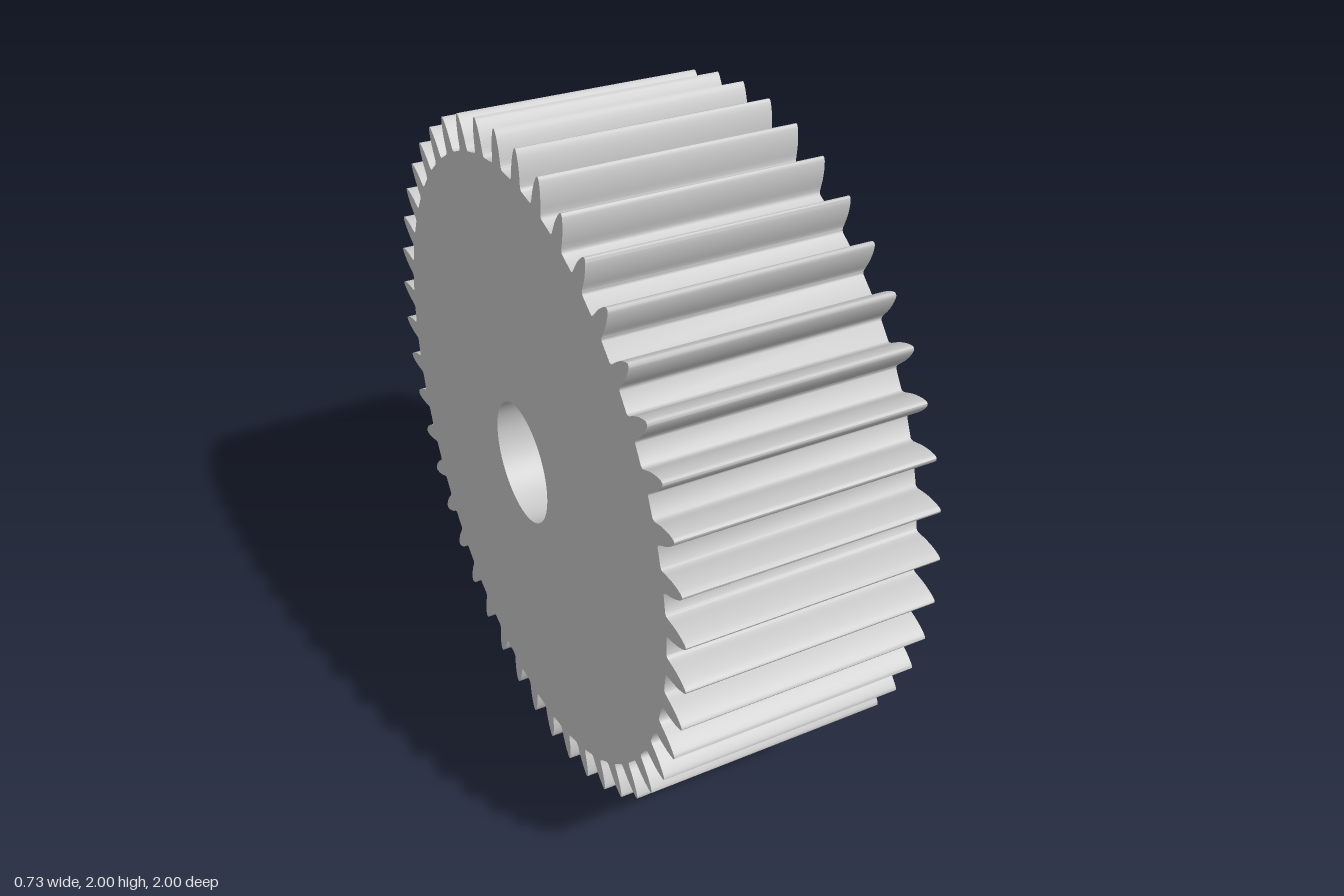
import * as THREE from 'three';
import { toCreasedNormals } from 'three/addons/utils/BufferGeometryUtils.js';

const TEETH = 45;
const RADIUS = 1.001;
const WIDTH = 0.73;
const BORE = 0.183;

// Half of one tooth, root to tip: [radius, half width]
const FLANK = [
  [0.9, 0.036], [0.903, 0.0315], [0.91, 0.0285], [0.925, 0.027], [0.94, 0.0253],
  [0.955, 0.0225], [0.97, 0.0185], [0.983, 0.0138], [0.993, 0.009], [0.999, 0.005],
];

function gearOutline() {
  const points = [];
  const add = (angle, r, w) => {
    const a = angle + w / r;
    points.push(new THREE.Vector2(r * Math.cos(a), r * Math.sin(a)));
  };
  for (let i = 0; i < TEETH; i++) {
    // The first tooth points straight down
    const angle = -Math.PI / 2 + (i * 2 * Math.PI) / TEETH;
    FLANK.forEach(([r, w]) => add(angle, r, -w));
    add(angle, RADIUS, 0);
    [...FLANK].reverse().forEach(([r, w]) => add(angle, r, w));
  }
  return new THREE.Shape(points);
}

export function createModel() {
  const group = new THREE.Group();
  group.name = 'spurGear';

  // Toothed disc with a round shaft bore, axis along x
  const shape = gearOutline();
  shape.holes.push(new THREE.Path().absarc(0, 0, BORE, 0, Math.PI * 2, true));
  let geometry = new THREE.ExtrudeGeometry(shape, {
    depth: WIDTH, bevelEnabled: false, curveSegments: 48,
  });
  geometry.translate(0, 0, -WIDTH / 2);
  geometry.rotateY(Math.PI / 2);
  geometry = toCreasedNormals(geometry, Math.PI / 5);

  const gear = new THREE.Mesh(geometry, new THREE.MeshStandardMaterial({ color: 0xcccccc }));
  gear.name = 'toothedWheel';
  gear.position.y = RADIUS;
  group.add(gear);
  return group;
}
